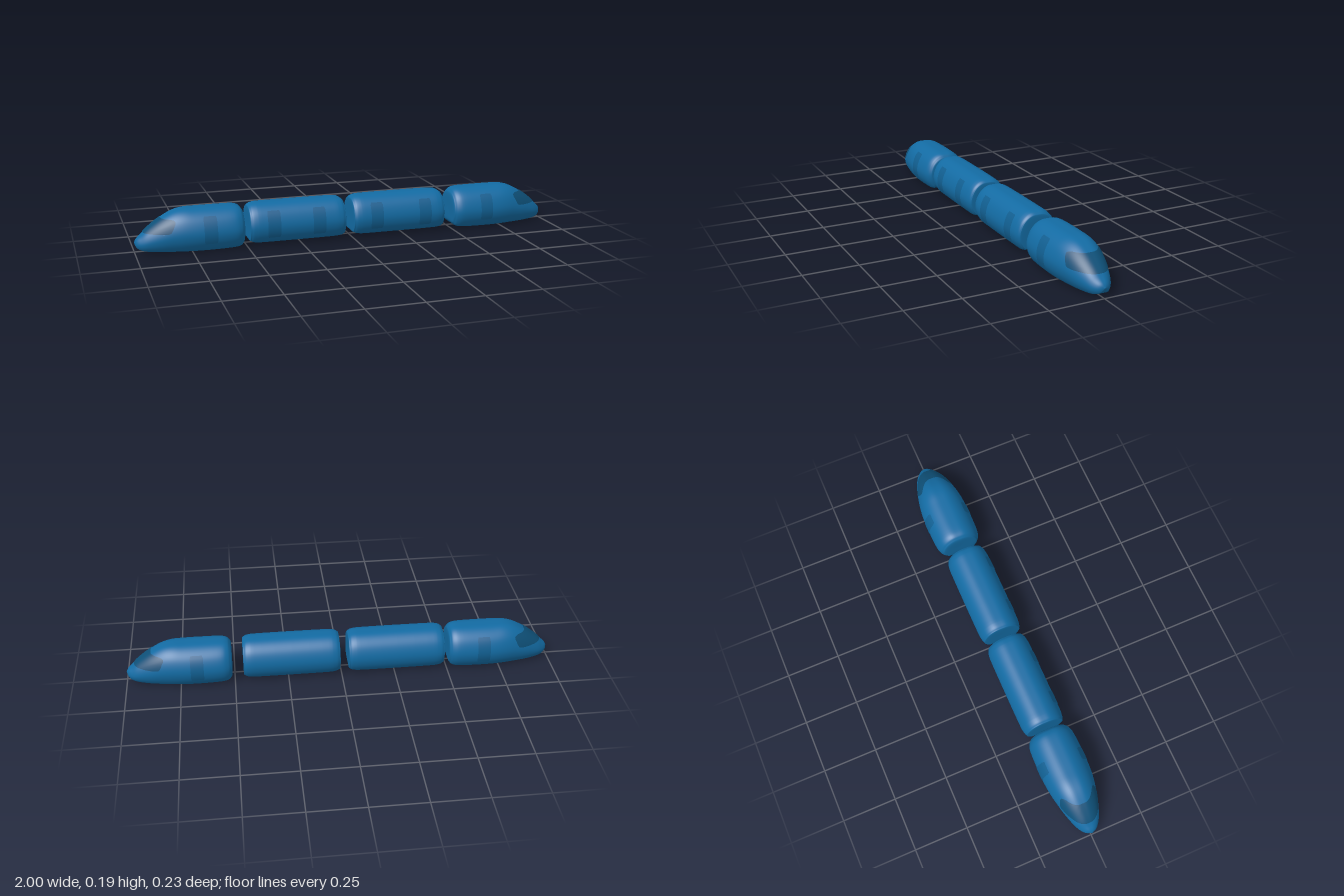
import * as THREE from 'three';

const paint = new THREE.MeshStandardMaterial({ color: 0x136ba3 });
const doorPaint = new THREE.MeshStandardMaterial({ color: 0x115f91 });
const glass = new THREE.MeshStandardMaterial({ color: 0x0e5078 });

// Half of the car cross-section, (z, y) from floor centre to roof centre
const half = [[0, 0], [0.55, 0], [0.7, 0.02], [0.83, 0.11], [0.95, 0.25], [1, 0.41],
  [0.96, 0.57], [0.82, 0.76], [0.6, 0.9], [0.32, 0.985], [0, 1]];
const loop = [...half, ...half.slice(1, -1).reverse().map(([z, y]) => [-z, y])];
const section = new THREE.CatmullRomCurve3(
  loop.map(([z, y]) => new THREE.Vector3(0, y, z)), true).getPoints(72).slice(0, -1);

// Stations along a car: [x, half width, floor y, roof y]
const noseStations = [[0.51, 0, 0.095, 0.095], [0.51, 0.075, 0.035, 0.155], [0.517, 0.09, 0.018, 0.172],
  [0.53, 0.1, 0.008, 0.183], [0.56, 0.108, 0.004, 0.189], [0.64, 0.111, 0.002, 0.19],
  [0.72, 0.11, 0.002, 0.19], [0.78, 0.104, 0.003, 0.189], [0.83, 0.094, 0.004, 0.177],
  [0.885, 0.08, 0.005, 0.148], [0.94, 0.06, 0.008, 0.108], [0.97, 0.043, 0.013, 0.08],
  [0.99, 0.024, 0.024, 0.062], [1, 0, 0.045, 0.045]];
const midEnd = [[0.226, 0, 0.095, 0.095], [0.226, 0.08, 0.03, 0.165], [0.22, 0.09, 0.02, 0.178],
  [0.2, 0.097, 0.014, 0.187], [0.14, 0.1, 0.012, 0.19]];
const midStations = [...midEnd.map(([x, ...r]) => [-x, ...r]), ...[...midEnd].reverse()];

function gridIndex(rows, cols, wrap) {
  const index = [];
  const width = wrap ? cols : cols + 1;
  for (let i = 0; i < rows; i++) {
    for (let j = 0; j < cols; j++) {
      const k = wrap ? (j + 1) % cols : j + 1;
      const a = i * width + j, b = i * width + k;
      index.push(a, a + width, b + width, a, b + width, b);
    }
  }
  return index;
}

function surface(name, positions, index, material) {
  const geometry = new THREE.BufferGeometry();
  geometry.setAttribute('position', new THREE.Float32BufferAttribute(positions, 3));
  geometry.setIndex(index);
  geometry.computeVertexNormals();
  const mesh = new THREE.Mesh(geometry, material);
  mesh.name = name;
  return mesh;
}

// Smooth shell lofted through the stations
function carBody(stations) {
  const curve = (f) => new THREE.CatmullRomCurve3(stations.map(f), false, 'catmullrom', 0.5);
  const roof = curve(([x, w, , top]) => new THREE.Vector3(x, top, w));
  const floor = curve(([x, , bottom]) => new THREE.Vector3(x, bottom, 0));
  const rows = (stations.length - 1) * 4;
  const positions = [];
  for (let i = 0; i <= rows; i++) {
    const r = roof.getPoint(i / rows), f = floor.getPoint(i / rows);
    for (const p of section) positions.push(r.x, f.y + (r.y - f.y) * p.y, r.z * p.z);
  }
  return surface('carBody', positions, gridIndex(rows, section.length, true), paint);
}

// Thin panel laid on the body along direction out; outline rows are [y, centre, half width]
function panel(name, body, out, outline, material, cols) {
  const up = new THREE.Vector3(0, 1, 0);
  const across = new THREE.Vector3().crossVectors(up, out);
  const ray = new THREE.Raycaster();
  const positions = [];
  for (let j = 0; j <= cols; j++) {
    for (const [y, centre, w] of outline) {
      const start = out.clone().multiplyScalar(2).addScaledVector(up, y)
        .addScaledVector(across, centre + w * (2 * j / cols - 1));
      ray.set(start, out.clone().negate());
      const hit = ray.intersectObject(body)[0];
      if (hit) start.copy(hit.point).addScaledVector(hit.face.normal, 0.002);
      positions.push(start.x, start.y, start.z);
    }
  }
  return surface(name, positions, gridIndex(cols, outline.length - 1, false), material);
}

function door(body, x, side) {
  const rows = [];
  for (let i = 0; i <= 12; i++) {
    const inset = i === 0 || i === 12 ? 0.004 : 0;
    rows.push([0.04 + 0.01 * i, x * side, 0.03 - inset]);
  }
  return panel('door', body, new THREE.Vector3(0, 0, side), rows, doorPaint, 6);
}

function noseCar(name) {
  const car = new THREE.Group();
  car.name = name;
  const body = carBody(noseStations);
  const rows = [[0.091, 0, 0.08], [0.093, 0, 0.086], [0.097, 0, 0.088], [0.104, 0, 0.0875],
    [0.111, 0, 0.0865], [0.118, 0, 0.085], [0.125, 0, 0.083], [0.132, 0, 0.081],
    [0.139, 0, 0.078], [0.145, 0, 0.074], [0.149, 0, 0.069], [0.152, 0, 0.06]];
  car.add(body, panel('windshield', body, new THREE.Vector3(1, 0, 0), rows, glass, 32));
  for (const side of [1, -1]) car.add(door(body, 0.67, side));
  return car;
}

function middleCar(name, x, doors) {
  const car = new THREE.Group();
  car.name = name;
  const body = carBody(midStations);
  car.add(body, ...doors.map((d) => door(body, d - x, 1)));
  car.position.x = x;
  return car;
}

export function createModel() {
  const train = new THREE.Group();
  train.name = 'train';
  const leadCar = noseCar('leadCar');
  leadCar.position.z = -0.003;
  const tailCar = noseCar('tailCar');
  tailCar.rotation.y = Math.PI;
  tailCar.position.z = 0.003;
  train.add(leadCar, tailCar,
    middleCar('leftMiddleCar', 0.232, [0.115, 0.355]),
    middleCar('rightMiddleCar', -0.26, [-0.378, -0.165]));
  return train;
}
